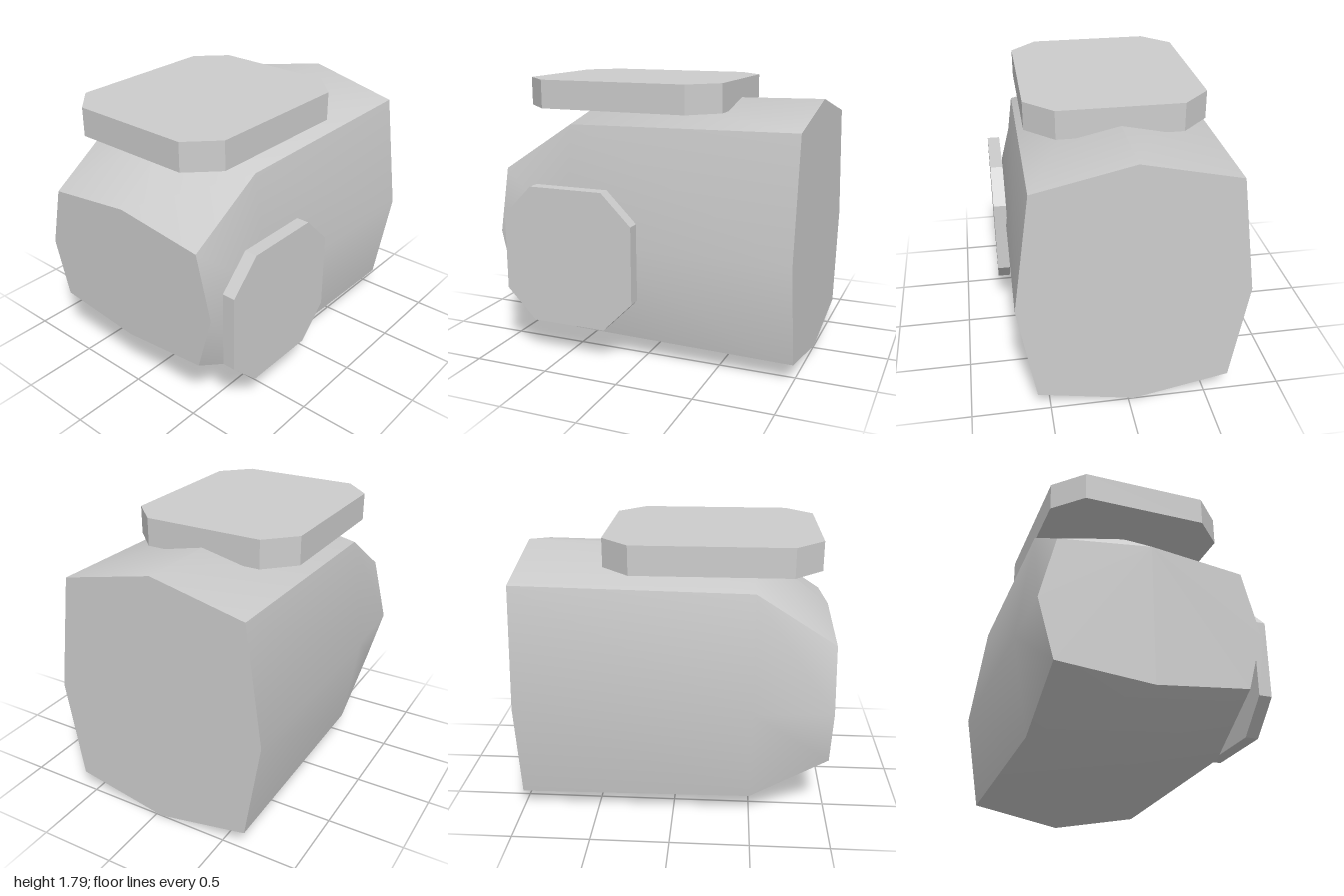
import * as THREE from 'three';
import { toCreasedNormals } from 'three/addons/utils/BufferGeometryUtils.js';

const grey = new THREE.MeshStandardMaterial({ color: 0xcccccc });
grey.name = 'light grey';

// Eight-sided ring at x: ridge, shoulders, sides, lower shoulders, keel
function ring({ x, top, shoulder, mid, low, bottom, front, frontMid, back, backMid }) {
  const c = (front + back) / 2;
  return [
    [x, top, c], [x, shoulder, front], [x, mid, frontMid], [x, low, front],
    [x, bottom, c], [x, low, back], [x, mid, backMid], [x, shoulder, back],
  ];
}

// Skin a series of rings running toward +x, with flat caps
function loft(rings) {
  const pos = [];
  const tri = (a, b, c) => pos.push(...a, ...b, ...c);
  const n = rings[0].length;
  for (let r = 0; r < rings.length - 1; r++) {
    const A = rings[r], B = rings[r + 1];
    for (let i = 0; i < n; i++) {
      const j = (i + 1) % n;
      tri(A[i], A[j], B[j]);
      tri(A[i], B[j], B[i]);
    }
  }
  const first = rings[0], last = rings[rings.length - 1];
  for (let i = 1; i < n - 1; i++) {
    tri(first[0], first[i + 1], first[i]);
    tri(last[0], last[i], last[i + 1]);
  }
  const g = new THREE.BufferGeometry();
  g.setAttribute('position', new THREE.Float32BufferAttribute(pos, 3));
  return toCreasedNormals(g, THREE.MathUtils.degToRad(42));
}

// Rectangular plate with chamfered corners, lying in xy and extruded along +z
function chamferedPlate(w, h, depth, c) {
  const x = w / 2, y = h / 2;
  const shape = new THREE.Shape([
    [-x + c, -y], [x - c, -y], [x, -y + c], [x, y - c],
    [x - c, y], [-x + c, y], [-x, y - c], [-x, -y + c],
  ].map(([a, b]) => new THREE.Vector2(a, b)));
  return new THREE.ExtrudeGeometry(shape, { depth, bevelEnabled: false });
}

export function createModel() {
  const model = new THREE.Group();
  model.name = 'block';
  const add = (name, geometry) => {
    const mesh = new THREE.Mesh(geometry, grey);
    mesh.name = name;
    model.add(mesh);
    return mesh;
  };

  // Body, tapering toward its -x end
  add('body', loft([
    { x: -1, top: 1.275, shoulder: 1.2, mid: 0.79, low: 0.415, bottom: 0.355, front: 0.56, frontMid: 0.665, back: -0.64, backMid: -0.742 },
    { x: -0.5, top: 1.655, shoulder: 1.522, mid: 0.78, low: 0.14, bottom: 0.028, front: 0.577, frontMid: 0.68, back: -0.655, backMid: -0.757 },
    { x: 1, top: 1.682, shoulder: 1.545, mid: 0.775, low: 0.12, bottom: 0, front: 0.58, frontMid: 0.69, back: -0.652, backMid: -0.76 },
  ].map(ring)));

  // Plate on the front side
  add('frontPlate', chamferedPlate(0.905, 0.905, 0.085, 0.2)).position.set(-0.453, 0.683, 0.675);

  // Slab on the roof
  const slab = add('topPlate', chamferedPlate(1.355, 1.16, 0.185, 0.18));
  slab.rotation.x = -Math.PI / 2;
  slab.position.set(-0.228, 1.61, -0.036);

  return model;
}
